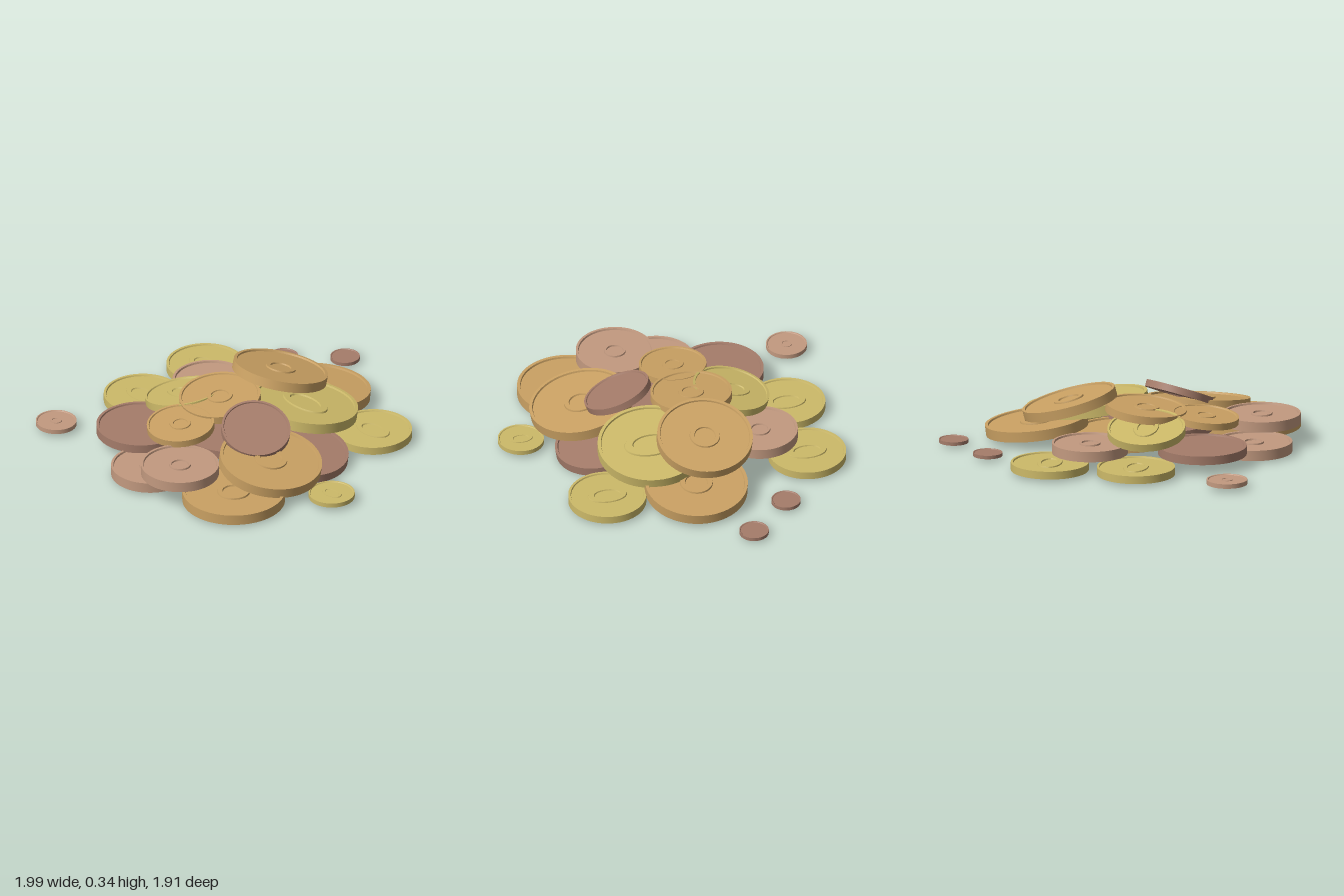
import * as THREE from 'three';
import { toCreasedNormals } from 'three/addons/utils/BufferGeometryUtils.js';

const COLORS = { gold: 0xcaa163, brass: 0xcdba69, paleCopper: 0xc39a80, copper: 0xa57c6a };
const materials = {};
for (const k in COLORS) materials[k] = new THREE.MeshStandardMaterial({ color: COLORS[k] });

// Lathe a profile of [radius, y] pairs, keeping its corners sharp
function lathe(points, segments) {
  const g = new THREE.LatheGeometry(points.map(([r, y]) => new THREE.Vector2(r, y)), segments);
  return toCreasedNormals(g, 0.5);
}

// Coin: recessed disc with a raised rim, and a raised emblem ring on both faces
function makeCoin(kind, r, h) {
  const coin = new THREE.Group();
  coin.name = kind + 'Coin';
  const top = h / 2, face = top * 0.66, ri = r * 0.94;

  const body = new THREE.Mesh(lathe([
    [0, -face], [ri - 0.003, -face], [ri, -top], [r, -top],
    [r, top], [ri, top], [ri - 0.003, face], [0, face],
  ], 64), materials[kind]);
  body.name = 'coinBody';
  coin.add(body);

  if (kind !== 'copper') {
    const a = r * 0.22, b = r * (kind === 'paleCopper' ? 0.27 : 0.31), t = top * 0.96, s = r * 0.012;
    const ring = new THREE.Mesh(lathe([
      [a - s, -face * 0.9], [a, -t], [b, -t], [b + s, -face * 0.9],
      [b + s, face * 0.9], [b, t], [a, t], [a - s, face * 0.9],
    ], 48), materials[kind]);
    ring.name = 'emblemRing';
    if (kind === 'brass') ring.scale.z = 1.6; // oval emblem
    coin.add(ring);
  }
  return coin;
}

// kind, x, y, z, radius, thickness, tilt about x, tilt about z
const COINS = [
  // ground layer
  ['gold', -0.02, 0.045, 0, 0.29, 0.06],
  ['gold', -0.65, 0.045, 0.45, 0.29, 0.06],
  ['paleCopper', -0.78, 0.045, -0.09, 0.22, 0.06],
  ['brass', -0.23, 0.04, -0.71, 0.22, 0.045],
  ['brass', 0.265, 0.04, -0.71, 0.22, 0.045],
  ['brass', 0.415, 0.04, 0.485, 0.22, 0.045],
  ['copper', -0.06, 0.065, 0.415, 0.25, 0.05, 0.15, 0],
  ['gold', 0.48, 0.085, -0.015, 0.29, 0.06, 0, -0.12],
  // middle layer
  ['copper', -0.55, 0.095, -0.4, 0.25, 0.05],
  ['copper', -0.25, 0.115, 0.02, 0.27, 0.05],
  ['paleCopper', 0.08, 0.095, -0.48, 0.215, 0.06],
  ['paleCopper', -0.78, 0.147, 0.15, 0.22, 0.06],
  ['gold', -0.36, 0.14, 0.45, 0.29, 0.06, 0.18, 0],
  ['brass', 0.18, 0.178, 0.175, 0.3, 0.06, 0.04, -0.16],
  ['brass', -0.225, 0.185, -0.385, 0.22, 0.045, -0.22, 0],
  // top layer
  ['gold', -0.51, 0.205, -0.12, 0.19, 0.04, 0, 0.1],
  ['gold', -0.175, 0.24, -0.145, 0.23, 0.046, 0, 0.1],
  ['gold', 0.27, 0.25, -0.115, 0.27, 0.056, 0, -0.265],
  ['copper', -0.285, 0.24, 0.255, 0.195, 0.04, 0.35, 0.21],
  // small stray coins
  ['brass', -0.245, 0.04, 0.825, 0.13, 0.026],
  ['paleCopper', -0.78, 0.04, -0.845, 0.115, 0.026],
  ['copper', 0.665, 0.028, -0.49, 0.083, 0.02],
  ['copper', 0.91, 0.028, -0.245, 0.083, 0.02],
];

export function createModel() {
  const pile = new THREE.Group();
  pile.name = 'coinPile';
  for (const [kind, x, y, z, r, h, rx = 0, rz = 0] of COINS) {
    const coin = makeCoin(kind, r, h);
    coin.position.set(x, y, z);
    coin.rotation.set(rx, 0, rz);
    pile.add(coin);
  }
  return pile;
}
